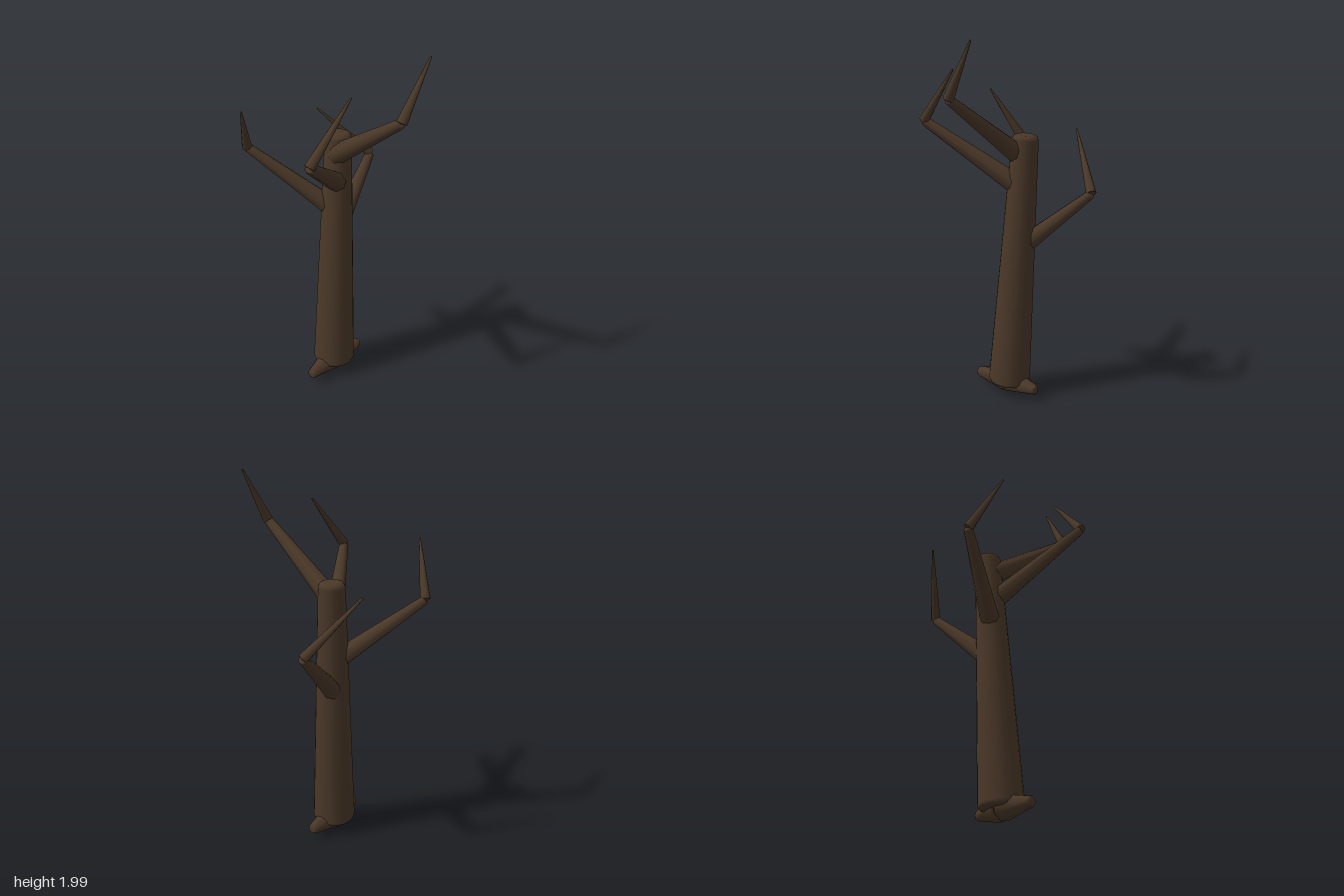
import * as THREE from 'three';

const bark = new THREE.MeshStandardMaterial({ color: 0x4a3828 });
bark.name = 'darkBark';
const UP = new THREE.Vector3(0, 1, 0);

// Tapered limb between two points; bevel rounds off the rims
function limb(name, from, to, r0, r1, sides, bevel) {
  const a = new THREE.Vector3(...from);
  const dir = new THREE.Vector3(...to).sub(a);
  const len = dir.length();
  const b0 = Math.min(bevel, r0 * 0.5), b1 = Math.min(bevel, r1 * 0.5);
  const profile = [
    [0, 0], [r0 - b0, 0], [r0 - b0 * 0.3, b0 * 0.3], [r0, b0],
    [r1, len - b1], [r1 - b1 * 0.3, len - b1 * 0.3], [r1 - b1, len], [0, len],
  ].map(([x, y]) => new THREE.Vector2(x, y));
  const mesh = new THREE.Mesh(new THREE.LatheGeometry(profile, sides), bark);
  mesh.name = name;
  mesh.position.copy(a);
  mesh.quaternion.setFromUnitVectors(UP, dir.normalize());
  return mesh;
}

export function createModel() {
  const tree = new THREE.Group();
  tree.name = 'bareTree';

  // Leaning trunk
  tree.add(limb('trunk', [-0.025, 0.07, -0.04], [0.05, 1.485, -0.083], 0.116, 0.07, 20, 0.025));

  // Two stubby roots meeting under the trunk
  const heart = [-0.03, 0.078, -0.04];
  tree.add(limb('rightRoot', heart, [-0.23, 0.073, -0.003], 0.07, 0.029, 8, 0.012));
  tree.add(limb('leftRoot', heart, [0.17, 0.073, -0.048], 0.07, 0.029, 8, 0.012));

  // Crooked branches: start inside the trunk, elbow, tip
  const branches = [
    ['frontBranch', [0.02, 1.37, -0.07], [0.003, 1.715, 0.412], [0.168, 2.0, 0.42]],
    ['rightFrontBranch', [0.025, 1.21, -0.06], [-0.392, 1.545, 0.224], [-0.15, 1.83, 0.237]],
    ['rightBackBranch', [0.02, 1.04, -0.07], [-0.288, 1.385, -0.418], [-0.403, 1.66, -0.283]],
    ['leftBranch', [0.02, 0.865, -0.085], [0.393, 1.205, -0.208], [0.152, 1.49, -0.375]],
  ];
  for (const [name, start, elbow, tip] of branches) {
    const branch = new THREE.Group();
    branch.name = name;
    branch.add(limb('lowerBranch', start, elbow, 0.055, 0.025, 8, 0.008));
    branch.add(limb('twig', elbow, tip, 0.027, 0.005, 8, 0.004));
    tree.add(branch);
  }
  return tree;
}
